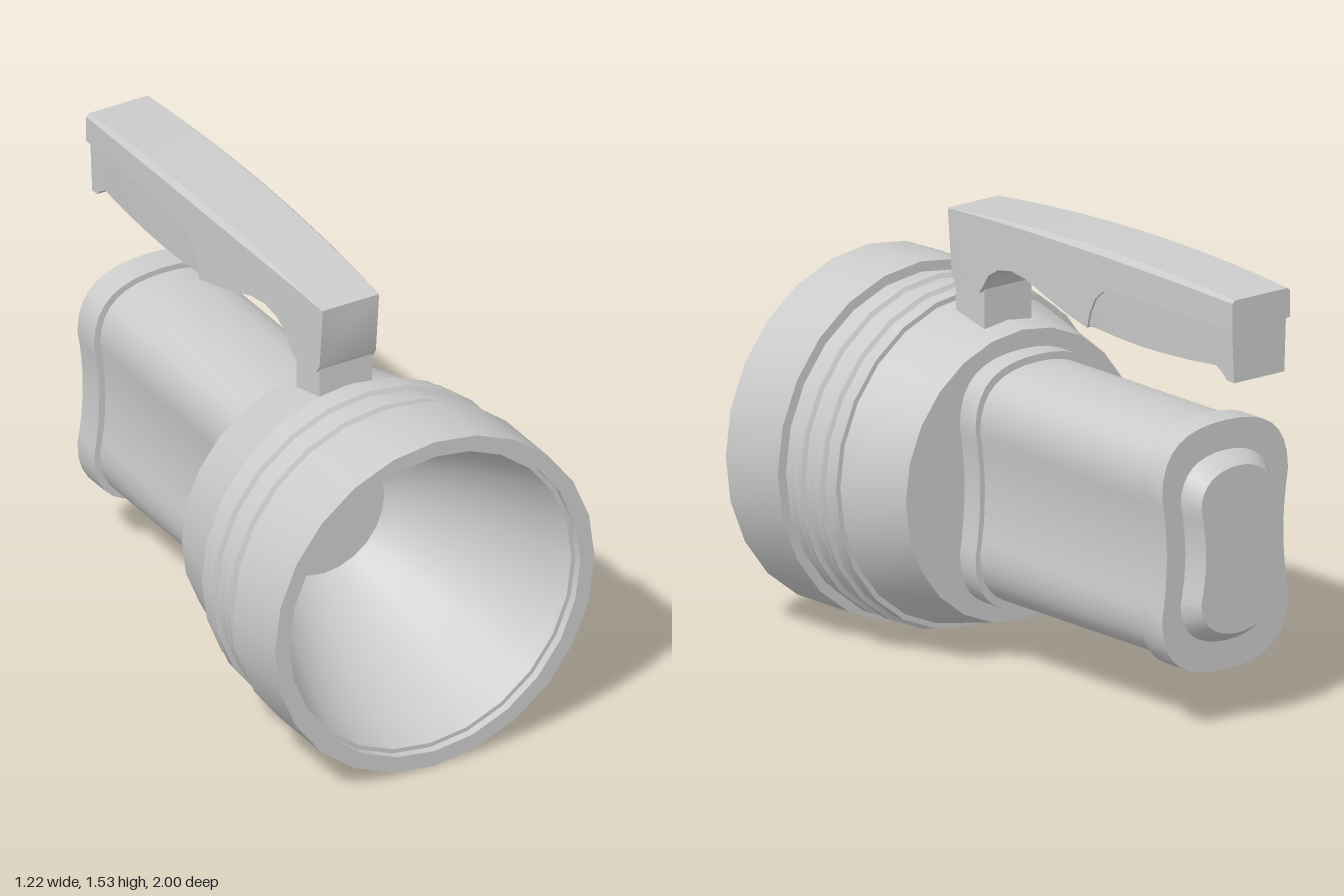
import * as THREE from 'three';
import { toCreasedNormals } from 'three/addons/utils/BufferGeometryUtils.js';

const AXIS_Y = 0.615;
const material = new THREE.MeshStandardMaterial({ color: 0xcccccc });

function addPart(parent, name, geometry, crease = 0.5) {
  const mesh = new THREE.Mesh(toCreasedNormals(geometry, crease), material);
  mesh.name = name;
  parent.add(mesh);
  return mesh;
}

// Skin over closed cross-sections, ordered front to back, each counter-clockwise seen from +z
function loft(sections) {
  const n = sections[0].length;
  const positions = sections.flat(2);
  const index = [];
  for (let s = 0; s < sections.length - 1; s++) {
    for (let j = 0; j < n; j++) {
      const a = s * n + j, b = s * n + (j + 1) % n;
      index.push(a, a + n, b, b, a + n, b + n);
    }
  }
  [0, sections.length - 1].forEach((s, end) => {
    const centre = positions.length / 3;
    for (let k = 0; k < 3; k++) {
      positions.push(sections[s].reduce((sum, p) => sum + p[k], 0) / n);
    }
    for (let j = 0; j < n; j++) {
      const a = s * n + j, b = s * n + (j + 1) % n;
      index.push(centre, end ? b : a, end ? a : b);
    }
  });
  const geometry = new THREE.BufferGeometry();
  geometry.setAttribute('position', new THREE.Float32BufferAttribute(positions, 3));
  geometry.setIndex(index);
  return geometry;
}

// Tall rounded section with slightly hollow sides
function ovalSection([w, h, z]) {
  const e = h - w * 0.8;
  const shape = new THREE.Shape();
  shape.moveTo(w, -e);
  shape.quadraticCurveTo(w - 0.04, 0, w, e);
  shape.bezierCurveTo(w, h - 0.05, w * 0.62, h, 0, h);
  shape.bezierCurveTo(-w * 0.62, h, -w, h - 0.05, -w, e);
  shape.quadraticCurveTo(-w + 0.04, 0, -w, -e);
  shape.bezierCurveTo(-w, -h + 0.05, -w * 0.62, -h, 0, -h);
  shape.bezierCurveTo(w * 0.62, -h, w, -h + 0.05, w, -e);
  const points = shape.getPoints(8);
  if (points[0].distanceTo(points[points.length - 1]) < 1e-6) points.pop();
  return points.map((p) => [p.x, p.y + AXIS_Y, z]);
}

// Handle half-width swells towards the middle of the grip
const widthCurve = (z) => 0.134 - 0.026 * Math.pow((z + 0.42) / 0.88, 2);
// Top line of the handle
const topCurve = (z) => 1.535 - 0.045 * Math.pow((z + 0.38) / 0.85, 2);

function createModel() {
  const model = new THREE.Group();
  model.name = 'flashlight';

  // Lamp head: cone, ribbed band, front rim and hollow reflector in one turned profile
  const profile = [[0, 0.22], [0.495, 0.22], [0.557, 0.48], [0.575, 0.48]];
  for (const z of [0.557, 0.66]) {
    profile.push([0.575, z - 0.024], [0.59, z - 0.016], [0.59, z + 0.016], [0.575, z + 0.024]);
  }
  profile.push([0.575, 0.735], [0.61, 0.735], [0.61, 1], [0.555, 1], [0.555, 0.97]);
  for (let i = 0; i <= 8; i++) {
    const r = 0.54 - (0.31 * i) / 8;
    profile.push([r, 0.3 + (0.67 * (r * r - 0.0529)) / 0.2387]);
  }
  profile.push([0, 0.3]);
  const head = new THREE.LatheGeometry(profile.map((p) => new THREE.Vector2(...p)), 24);
  head.rotateX(Math.PI / 2);
  addPart(model, 'lampHead', head).position.y = AXIS_Y;

  // Battery housing with collar, end plate and bevelled cap
  const housing = {
    collar: [[0.265, 0.43, 0.23], [0.265, 0.43, 0.14]],
    batteryHousing: [[0.245, 0.405, 0.15], [0.245, 0.405, -0.72]],
    endPlate: [[0.268, 0.425, -0.71], [0.268, 0.425, -0.815]],
    endCap: [[0.19, 0.325, -0.81], [0.188, 0.322, -0.825], [0.155, 0.285, -0.88]],
  };
  for (const [name, rings] of Object.entries(housing)) {
    addPart(model, name, loft(rings.map(ovalSection)));
  }

  // Handle post
  const post = addPart(model, 'handlePost', new THREE.BoxGeometry(0.2, 0.2, 0.145));
  post.position.set(0, 1.17, 0.365);

  // Handle shell: stations are z at top, z at bottom, bottom height
  const shell = [
    [0.47, 0.45, 1.27], [0.44, 0.43, 1.24], [0.3, 0.3, 1.24], [0.28, 0.28, 1.265],
    [0.25, 0.25, 1.31], [0.2, 0.2, 1.34], [0.13, 0.13, 1.355], [0.05, 0.05, 1.345],
    [-0.06, -0.06, 1.31], [-0.16, -0.16, 1.28], [-0.27, -0.27, 1.255], [-0.285, -0.285, 1.31],
    [-0.31, -0.31, 1.36], [-0.35, -0.35, 1.395], [-0.41, -0.41, 1.41], [-0.55, -0.55, 1.414],
    [-0.7, -0.7, 1.414], [-0.85, -0.85, 1.412], [-1, -1, 1.41],
  ].map(([zt, zb, yb]) => {
    const w = widthCurve(zt), t = topCurve(zt);
    const c = Math.max(0.002, (w - 0.108) * 0.7);
    return [[-w, yb, zb], [w, yb, zb], [w, t - c, zt], [w - c, t, zt], [-w + c, t, zt], [-w, t - c, zt]];
  });
  addPart(model, 'handleShell', loft(shell));

  // Grip insert under the handle, ending in a finger stop: z, bottom height, top height
  const grip = [
    [-0.272, 1.257, 1.262], [-0.285, 1.257, 1.32], [-0.31, 1.256, 1.37], [-0.35, 1.254, 1.41],
    [-0.41, 1.25, 1.425], [-0.53, 1.247, 1.425], [-0.65, 1.25, 1.425], [-0.78, 1.257, 1.425],
    [-0.9, 1.268, 1.425], [-0.93, 1.25, 1.425], [-0.955, 1.227, 1.425], [-0.988, 1.225, 1.425],
  ].map(([z, yb, yt]) => {
    const w = widthCurve(z) - 0.008, b = w - 0.008;
    return [[-b, yb, z], [b, yb, z], [w, yt, z], [-w, yt, z]];
  });
  addPart(model, 'gripInsert', loft(grip));

  return model;
}

export { createModel };
